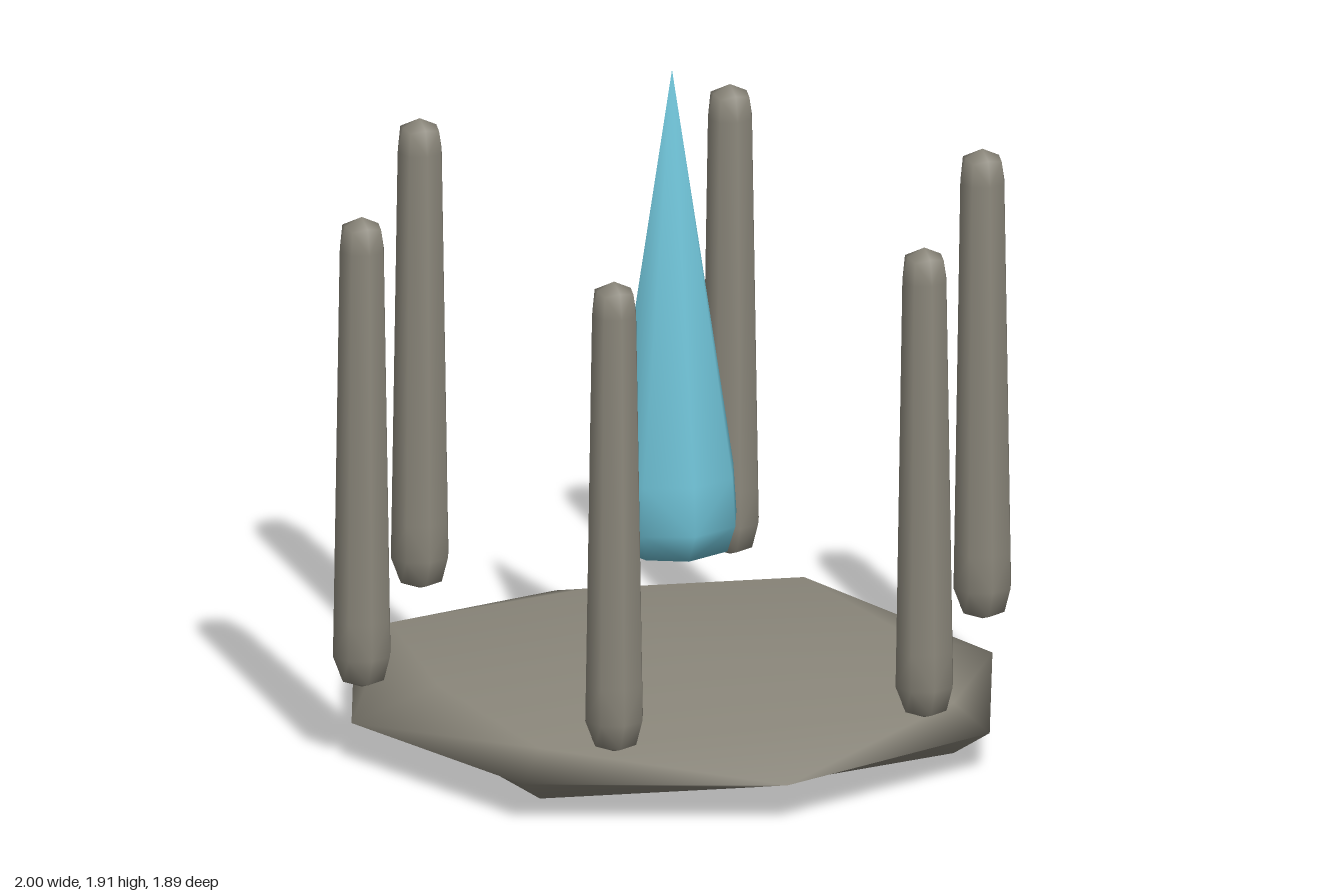
import * as THREE from 'three';

// Closed eight-sided loft. Each ring: [axis radius, axis y, diagonal offset, diagonal y].
function loft(bottomY, rings, topY) {
  const pos = [0, bottomY, 0];
  const index = [];
  for (const [r, y, d, dy] of rings) {
    for (let i = 0; i < 8; i++) {
      const a = (i * Math.PI) / 4;
      const diagonal = i % 2 === 1;
      const radius = diagonal ? d * Math.SQRT2 : r;
      pos.push(Math.sin(a) * radius, diagonal ? dy : y, Math.cos(a) * radius);
    }
  }
  const top = pos.length / 3;
  pos.push(0, topY, 0);
  const last = 1 + (rings.length - 1) * 8;
  for (let i = 0; i < 8; i++) {
    const j = (i + 1) % 8;
    index.push(0, 1 + j, 1 + i, top, last + i, last + j);
    for (let k = 0; k < rings.length - 1; k++) {
      const a = 1 + k * 8 + i, b = 1 + k * 8 + j;
      // Mirror the split on alternate sides to keep the form symmetric
      if (i % 2) index.push(a, b, a + 8, b, b + 8, a + 8);
      else index.push(a, b, b + 8, a, b + 8, a + 8);
    }
  }
  const geo = new THREE.BufferGeometry();
  geo.setAttribute('position', new THREE.Float32BufferAttribute(pos, 3));
  geo.setIndex(index);
  geo.computeVertexNormals();
  return geo;
}

export function createModel() {
  const group = new THREE.Group();
  const stone = new THREE.MeshStandardMaterial({ color: 0x8b877b });
  stone.name = 'stone';
  const crystalBlue = new THREE.MeshStandardMaterial({ color: 0x6dbfd3 });
  crystalBlue.name = 'crystalBlue';

  const add = (name, geo, mat) => {
    const mesh = new THREE.Mesh(geo, mat);
    mesh.name = name;
    group.add(mesh);
    return mesh;
  };

  // Lens-shaped floating base
  add('base', loft(0, [
    [0.69, 0.033, 0.61, 0.042],
    [0.945, 0.115, 0.688, 0.115],
    [0.69, 0.197, 0.61, 0.188],
  ], 0.23), stone);

  // Teardrop crystal hovering in the middle
  add('crystal', loft(0.49, [
    [0.137, 0.523, 0.12, 0.535],
    [0.19, 0.61, 0.137, 0.61],
    [0.181, 0.75, 0.131, 0.75],
  ], 1.915), crystalBlue);

  // Six tapered standing stones in a ring
  const pillarGeo = loft(0.218, [
    [0.055, 0.238, 0.048, 0.246],
    [0.085, 0.315, 0.061, 0.315],
    [0.083, 0.42, 0.06, 0.42],
    [0.065, 1.49, 0.047, 1.49],
    [0.049, 1.562, 0.042, 1.555],
  ], 1.585);
  for (let i = 0; i < 6; i++) {
    const a = (i * Math.PI) / 3;
    const pillar = add('pillar' + (i + 1), pillarGeo, stone);
    pillar.position.set(Math.cos(a) * 0.915, 0, Math.sin(a) * 0.915);
  }
  return group;
}
